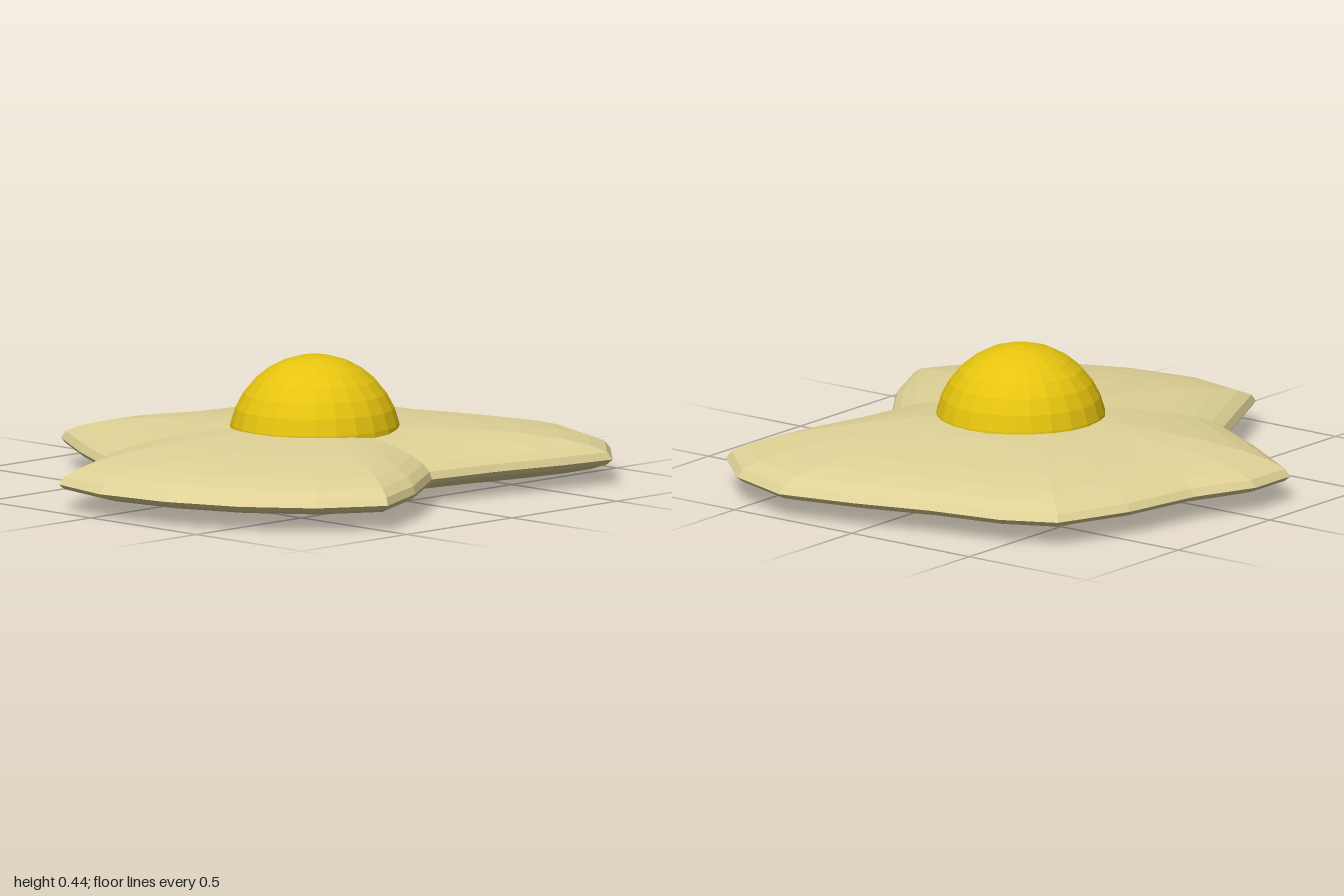
import * as THREE from 'three';

// Rim of the egg white as [x, z], starting at the right and passing the front
const RIM = [
  [-1, 0.04], [-0.96, 0.31], [-0.86, 0.56], [-0.7, 0.77], [-0.49, 0.9], [-0.25, 0.79],
  [0.01, 0.61], [0.29, 0.65], [0.54, 0.71], [0.74, 0.74], [0.91, 0.56], [1, 0.31],
  [0.94, 0.04], [0.86, -0.22], [0.81, -0.48], [0.72, -0.66], [0.46, -0.76], [0.17, -0.81],
  [-0.05, -0.9], [-0.24, -0.9], [-0.41, -0.64], [-0.55, -0.39], [-0.76, -0.29], [-0.95, -0.2],
];
const CENTRE = { x: 0.02, z: 0.045 };
const RIM_Y = 0.085, TOP = 0.212;

// Flattened sphere whose rings follow the irregular rim
function eggWhiteGeometry() {
  const n = RIM.length;
  const geometry = new THREE.SphereGeometry(1, n, 16);
  const p = geometry.attributes.position;
  for (let i = 0; i < p.count; i++) {
    const [rx, rz] = RIM[(i % (n + 1)) % n];
    const h = p.getY(i);
    const t = Math.hypot(p.getX(i), p.getZ(i));
    p.setXYZ(
      i,
      CENTRE.x + (rx - CENTRE.x) * t,
      RIM_Y + h * (h > 0 ? TOP - RIM_Y : RIM_Y),
      CENTRE.z + (rz - CENTRE.z) * t,
    );
  }
  geometry.computeVertexNormals();
  return geometry;
}

export function createModel() {
  const cream = new THREE.MeshStandardMaterial({ color: 0xe0d296, flatShading: true });
  cream.name = 'cream';
  const yellow = new THREE.MeshStandardMaterial({ color: 0xe6c40f, flatShading: true });
  yellow.name = 'yolk yellow';

  const group = new THREE.Group();
  group.name = 'friedEgg';

  const white = new THREE.Mesh(eggWhiteGeometry(), cream);
  white.name = 'eggWhite';

  // Upper part of a sphere, its open edge hidden inside the white
  const yolk = new THREE.Mesh(
    new THREE.SphereGeometry(0.29, 24, 10, 0, Math.PI * 2, 0, Math.PI * 0.625), yellow);
  yolk.name = 'yolk';
  yolk.position.set(CENTRE.x, 0.155, CENTRE.z);

  group.add(white, yolk);
  return group;
}
